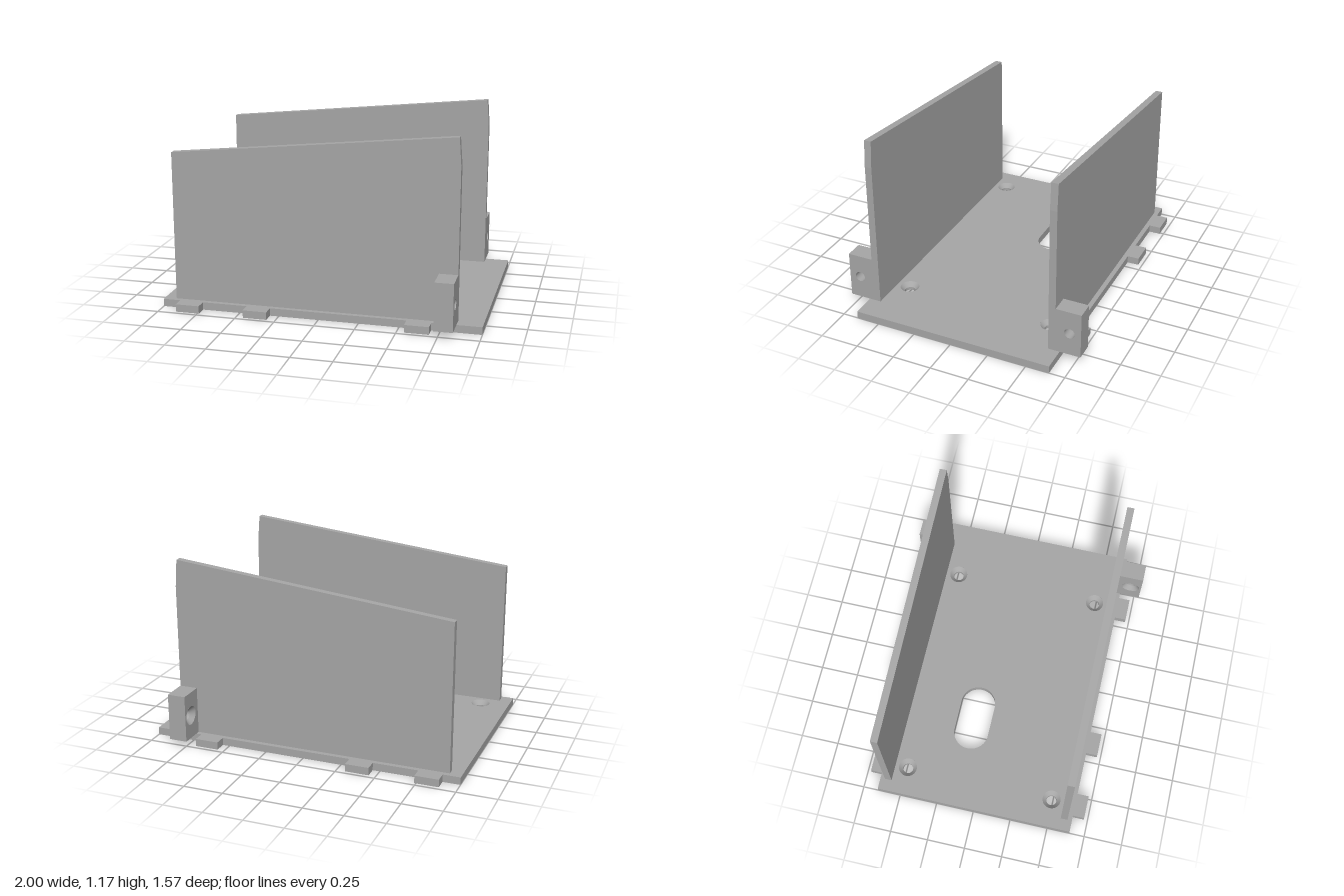
import * as THREE from 'three';

const grey = new THREE.MeshStandardMaterial({ color: 0xa6a6a6, side: THREE.DoubleSide });

const BASE = 0.048;      // plate thickness
const SINK = 0.028;      // countersink depth
const R_HOLE = 0.033;
const R_SINK = 0.06;

function polygon(points) {
  return new THREE.Shape(points.map(([x, y]) => new THREE.Vector2(x, y)));
}

function circle(x, y, r) {
  return new THREE.Path().absarc(x, y, r, 0, Math.PI * 2, true);
}

function slot(x0, x1, y, r) {
  const path = new THREE.Path();
  path.absarc(x1 - r, y, r, -Math.PI / 2, Math.PI / 2, false);
  path.absarc(x0 + r, y, r, Math.PI / 2, Math.PI * 1.5, false);
  path.closePath();
  return path;
}

function extrude(shape, depth, holes = []) {
  shape.holes.push(...holes);
  return new THREE.ExtrudeGeometry(shape, { depth, bevelEnabled: false, curveSegments: 24 });
}

function add(parent, name, geometry) {
  const mesh = new THREE.Mesh(geometry, grey);
  mesh.name = name;
  parent.add(mesh);
  return mesh;
}

// Conical seat for a screw head, wide end up at y = 0
function sinkGeometry() {
  return new THREE.LatheGeometry(
    [new THREE.Vector2(R_SINK, 0), new THREE.Vector2(R_HOLE, -SINK)], 40);
}

// Plate outline with three locking tabs along each long edge
function plateOutline() {
  const tabs = [[-0.89, -0.74], [-0.455, -0.305], [0.545, 0.695]];
  const front = [[-1, 0.65]];
  for (const [a, b] of tabs) front.push([a, 0.65], [a, 0.725], [b, 0.725], [b, 0.65]);
  front.push([1, 0.65]);
  const back = front.map(([x, z]) => [x, -z]).reverse();
  return polygon([...front, ...back]);
}

function createPlate() {
  const plate = new THREE.Group();
  plate.name = 'basePlate';
  const screws = [];
  for (const x of [-0.815, 0.62]) for (const z of [-0.49, 0.49]) screws.push([x, z]);
  const cableSlot = () => slot(-0.6, -0.163, -0.135, 0.115);

  // Lower layer carries the narrow holes and two round magnet recesses
  const lower = extrude(plateOutline(), BASE - SINK, [
    cableSlot(),
    ...screws.map(([x, z]) => circle(x, z, R_HOLE)),
    circle(-0.225, 0.215, 0.088),
    circle(-0.537, 0.215, 0.088),
  ]);
  lower.rotateX(Math.PI / 2).translate(0, BASE - SINK, 0);
  add(plate, 'plateLowerLayer', lower);

  // Upper layer is opened up for the countersinks
  const upper = extrude(plateOutline(), SINK, [
    cableSlot(),
    ...screws.map(([x, z]) => circle(x, z, R_SINK)),
  ]);
  upper.rotateX(Math.PI / 2).translate(0, BASE, 0);
  add(plate, 'plateUpperLayer', upper);

  for (const [x, z] of screws) add(plate, 'plateCountersink', sinkGeometry()).position.set(x, BASE, z);
  return plate;
}

// Tall side wall with a sloping top and a slightly clipped end
function createWall(side) {
  const profile = polygon([
    [-0.925, BASE], [0.845, BASE], [0.845, 1.0], [0.832, 1.17], [-0.925, 0.985],
  ]);
  const geometry = extrude(profile, 0.045);
  geometry.translate(0, 0, side > 0 ? 0.575 : -0.62);
  const wall = new THREE.Mesh(geometry, grey);
  wall.name = 'sideWall';
  return wall;
}

// Screw lug outside each wall, countersunk on its inner-end face
function createLug(side) {
  const lug = new THREE.Group();
  lug.name = 'screwLug';
  const x0 = 0.73, x1 = 0.845, y = 0.197, z = 0.71 * side;
  const face = () => {
    const a = -side * 0.62, b = -side * 0.783;
    return polygon([[a, BASE], [b, BASE], [b, 0.347], [a, 0.347]]);
  };
  const layer = (name, from, to, r) => {
    const geometry = extrude(face(), to - from, [circle(-z, y, r)]);
    geometry.rotateY(Math.PI / 2).translate(from, 0, 0);
    add(lug, name, geometry);
  };
  layer('lugSeat', x0, x0 + SINK, R_SINK);
  layer('lugBody', x0 + SINK, x1, R_HOLE);
  const sink = add(lug, 'lugCountersink', sinkGeometry());
  sink.rotation.z = Math.PI / 2;
  sink.position.set(x0, y, z);
  return lug;
}

export function createModel() {
  const model = new THREE.Group();
  model.name = 'mountingBracket';
  model.add(createPlate());
  for (const side of [1, -1]) model.add(createWall(side), createLug(side));
  return model;
}
